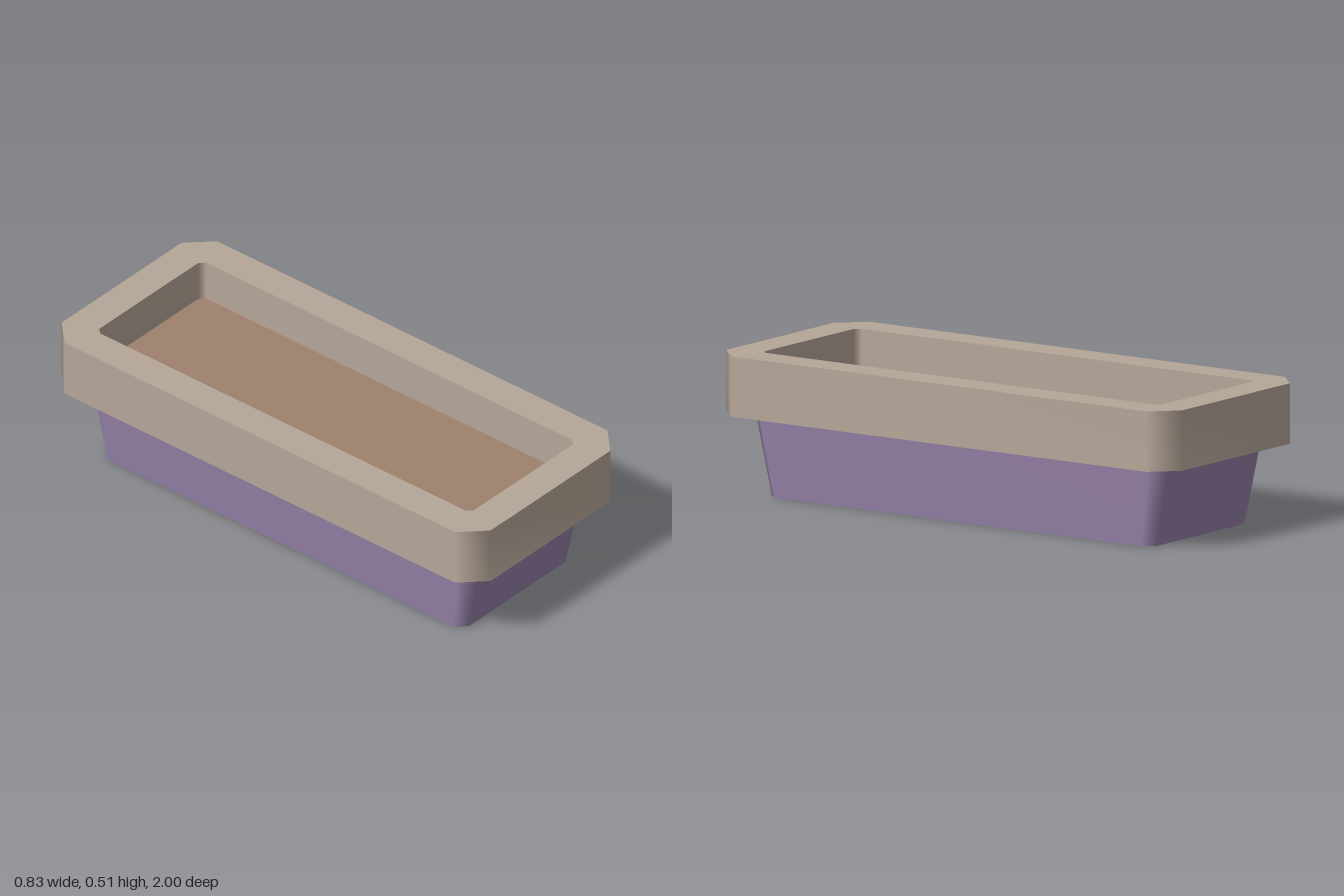
import * as THREE from 'three';
import { mergeGeometries } from 'three/addons/utils/BufferGeometryUtils.js';

// Rectangle with cut corners at height y: half width, half length, corner cut
function ring(hx, hz, cut, y) {
  return [
    [hx, -hz + cut], [hx, hz - cut], [hx - cut, hz], [-hx + cut, hz],
    [-hx, hz - cut], [-hx, -hz + cut], [-hx + cut, -hz], [hx - cut, -hz],
  ].map(([x, z]) => [x, y, z]);
}

// Band between two rings, smooth around its corners
function band(a, b) {
  const n = a.length;
  const index = [];
  for (let i = 0; i < n; i++) {
    const j = (i + 1) % n;
    index.push(i, n + i, n + j, i, n + j, j);
  }
  const g = new THREE.BufferGeometry();
  g.setAttribute('position', new THREE.Float32BufferAttribute([...a, ...b].flat(), 3));
  g.setIndex(index);
  g.computeVertexNormals();
  return g;
}

// Chain of bands with hard edges between them
function loft(name, rings, material) {
  const bands = rings.slice(1).map((r, i) => band(rings[i], r));
  const mesh = new THREE.Mesh(mergeGeometries(bands), material);
  mesh.name = name;
  return mesh;
}

function paint(name, color) {
  const m = new THREE.MeshStandardMaterial({ color });
  m.name = name;
  return m;
}

export function createModel() {
  const stone = paint('warm grey', 0xb5a598);
  const purple = paint('muted purple', 0x9480a6);
  const earth = paint('soil brown', 0x9e826d);

  const rimBase = 0.297, rimTop = 0.515, soilY = 0.36;
  const bodyTop = ring(0.326, 0.906, 0.05, rimBase);
  const soilEdge = ring(0.29, 0.873, 0.02, soilY);

  const model = new THREE.Group();
  model.name = 'planter';
  model.add(
    // Tapered trough with a closed bottom
    loft('trough', [
      ring(0, 0, 0, 0),
      ring(0.303, 0.845, 0.04, 0),
      bodyTop,
    ], purple),
    // Overhanging rim: underside, outside, top, inside
    loft('rim', [
      bodyTop,
      ring(0.417, 1, 0.09, rimBase),
      ring(0.417, 1, 0.09, rimTop),
      ring(0.29, 0.873, 0.02, rimTop),
      soilEdge,
    ], stone),
    // Flat soil surface
    loft('soil', [soilEdge, ring(0, 0, 0, soilY)], earth),
  );
  return model;
}
